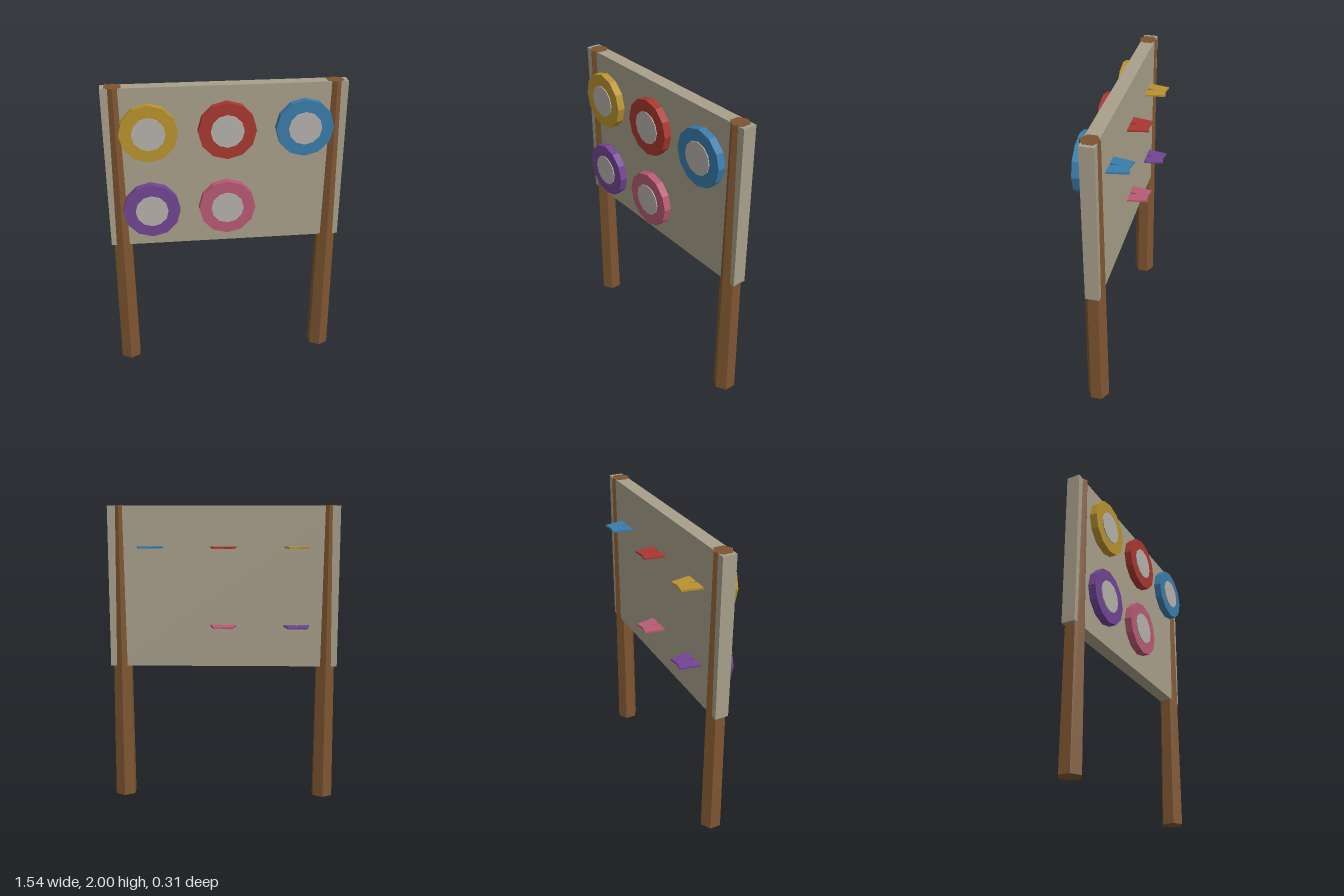
import * as THREE from 'three';

export function createModel() {
  const model = new THREE.Group();
  model.name = 'ringTargetBoard';
  const mat = (color) => new THREE.MeshStandardMaterial({ color, flatShading: true });

  function add(parent, name, geometry, material, x, y, z) {
    const mesh = new THREE.Mesh(geometry, material);
    mesh.name = name;
    mesh.position.set(x, y, z);
    parent.add(mesh);
    return mesh;
  }

  // Board
  add(model, 'board', new THREE.BoxGeometry(1.54, 1.073, 0.09), mat(0xa89f8a), 0, 1.4615, 0.021);

  // Tapered hexagonal posts
  const wood = mat(0x7d5530);
  const postGeometry = new THREE.CylinderGeometry(0.06, 0.075, 2, 6);
  for (const [name, x] of [['rightPost', -0.693], ['leftPost', 0.693]]) {
    add(model, name, postGeometry, wood, x, 1, 0.023);
  }

  // Targets: twelve-sided rim, grey centre disc and a two-pronged peg through the board
  const rimGeometry = new THREE.CylinderGeometry(0.184, 0.184, 0.05, 12).rotateX(Math.PI / 2);
  const discGeometry = new THREE.CylinderGeometry(0.106, 0.106, 0.05, 12).rotateX(Math.PI / 2);
  const prongGeometry = new THREE.BoxGeometry(0.075, 0.012, 0.245);
  const discMaterial = mat(0xb5b0aa);

  const targets = [
    ['yellow', -0.49, 1.727, 0xb8922f],
    ['red', 0, 1.727, 0xa93830],
    ['blue', 0.49, 1.727, 0x3a7cab],
    ['purple', -0.49, 1.203, 0x714592],
    ['pink', 0, 1.203, 0xb85a74],
  ];
  for (const [name, x, y, color] of targets) {
    const target = new THREE.Group();
    target.name = name + 'Target';
    target.position.set(x, y, 0);
    const paint = mat(color);
    add(target, 'rim', rimGeometry, paint, 0, 0, 0.122);
    add(target, 'centreDisc', discGeometry, discMaterial, 0, 0, 0.128);
    for (const side of [-1, 1]) {
      const prong = add(target, side < 0 ? 'rightProng' : 'leftProng', prongGeometry, paint, side * 0.0475, 0, -0.03);
      prong.rotation.y = side * 0.185;
    }
    model.add(target);
  }
  return model;
}
